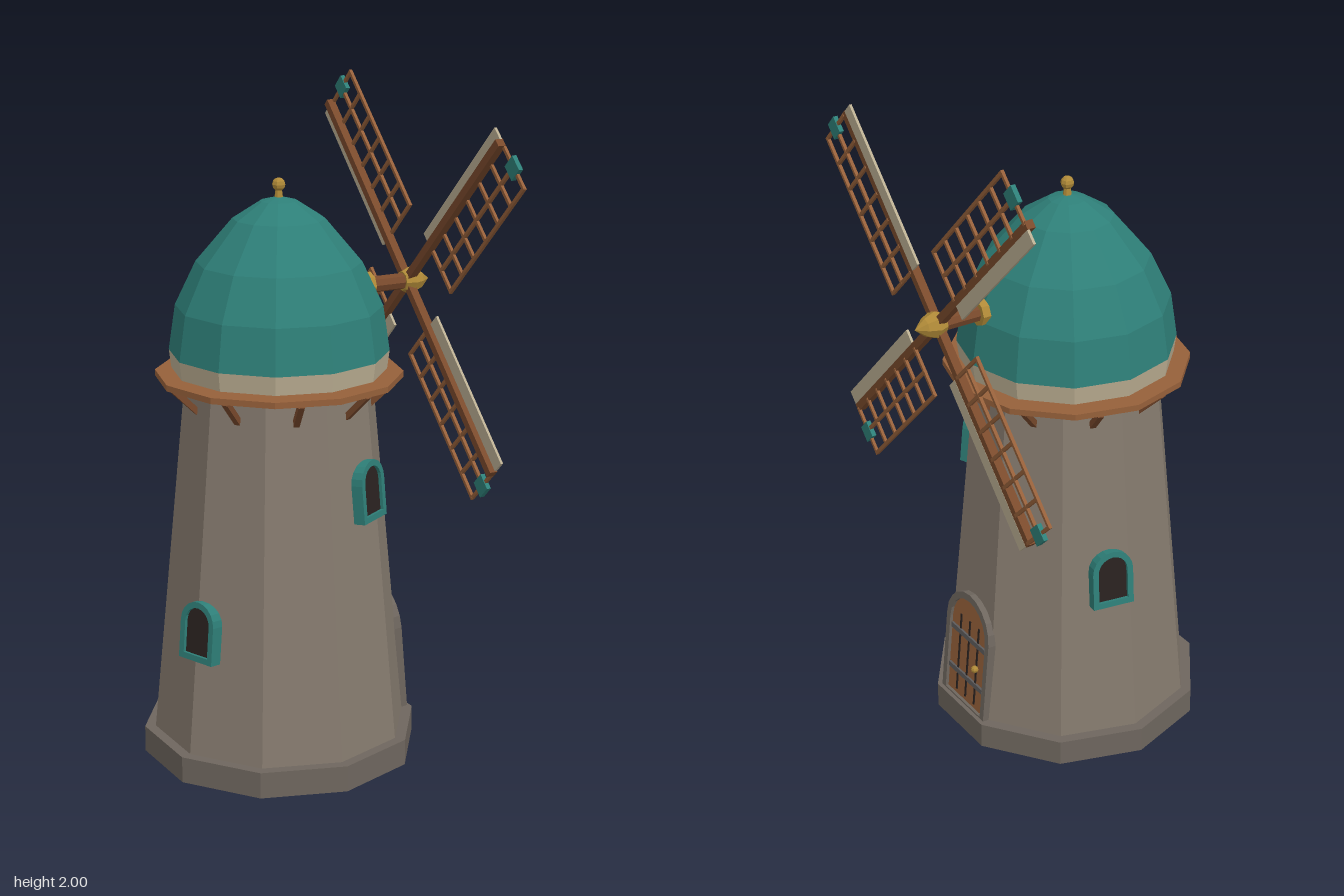
import * as THREE from 'three';

const mat = (name, color) => {
  const m = new THREE.MeshStandardMaterial({ color });
  m.name = name;
  return m;
};

export function createModel() {
  const stone = mat('stone', 0x857a6e), darkStone = mat('dark stone', 0x6e665e);
  const teal = mat('teal', 0x2e7f78), cream = mat('cream', 0xbbae92);
  const deckWood = mat('deck wood', 0x96603a), wood = mat('wood', 0x7a4a2c);
  const gold = mat('gold', 0xb08a38), dark = mat('dark', 0x2a2220), iron = mat('iron', 0x5c5a5a);

  const root = new THREE.Group();
  root.name = 'windmill';
  const mill = new THREE.Group();
  mill.name = 'mill';
  mill.position.x = -0.06;
  root.add(mill);

  // Faceted mesh
  const add = (parent, name, geo, material, x = 0, y = 0, z = 0) => {
    const g = geo.index ? geo.toNonIndexed() : geo;
    g.computeVertexNormals();
    const m = new THREE.Mesh(g, material);
    m.name = name;
    m.position.set(x, y, z);
    parent.add(m);
    return m;
  };
  const box = (parent, name, material, w, h, d, x, y, z) =>
    add(parent, name, new THREE.BoxGeometry(w, h, d), material, x, y, z);
  const cyl = (rTop, rBottom, h, n) => new THREE.CylinderGeometry(rTop, rBottom, h, n);
  const lathe = (pts, n) => new THREE.LatheGeometry(pts.map(p => new THREE.Vector2(...p)), n);

  // Tower
  const radiusAt = y => 0.385 - 0.105 * (y - 0.08) / 1.1;
  const apothem = Math.cos(Math.PI / 10);
  const tilt = Math.atan(0.105 * apothem / 1.1);
  add(mill, 'plinth', cyl(0.418, 0.418, 0.08, 10), darkStone, 0, 0.04);
  add(mill, 'tower', cyl(radiusAt(1.2), radiusAt(0.08), 1.12, 10), stone, 0, 0.64);

  // Gallery and its braces
  add(mill, 'gallery', cyl(0.367, 0.367, 0.018, 12), deckWood, 0, 1.174);
  for (let i = 0; i < 10; i++) {
    const pivot = new THREE.Group();
    pivot.name = 'galleryBrace';
    pivot.rotation.y = (i + 0.5) * Math.PI / 5;
    mill.add(pivot);
    box(pivot, 'brace', wood, 0.018, 0.115, 0.018, 0, 1.128, 0.307).rotation.x = 0.8;
  }

  // Cap
  add(mill, 'capBand', cyl(0.325, 0.318, 0.055, 12), cream, 0, 1.2175);
  add(mill, 'dome', lathe([[0.325, 1.245], [0.305, 1.38], [0.243, 1.51], [0.135, 1.637],
    [0.055, 1.688], [0, 1.702]], 12), teal);
  add(mill, 'finialNeck', cyl(0.009, 0.014, 0.04, 8), gold, 0, 1.708);
  add(mill, 'finialBall', new THREE.SphereGeometry(0.02, 8, 6), gold, 0, 1.735);

  // Group lying on the sloping wall, local +z outward
  const mount = (name, theta, dist, y) => {
    const g = new THREE.Group();
    g.name = name;
    g.rotation.order = 'YXZ';
    g.rotation.set(-tilt, theta, 0);
    g.position.set(Math.sin(theta) * dist, y, Math.cos(theta) * dist);
    mill.add(g);
    return g;
  };
  // Round-topped outline between y0 and y1
  const arch = (hw, y0, y1, Type = THREE.Shape) => {
    const s = new Type();
    s.moveTo(-hw, y0);
    s.lineTo(hw, y0);
    s.lineTo(hw, y1 - hw);
    s.absarc(0, y1 - hw, hw, 0, Math.PI, false);
    s.closePath();
    return s;
  };
  const slab = (shape, depth) =>
    new THREE.ExtrudeGeometry(shape, { depth, bevelEnabled: false, curveSegments: 5 });

  // Door
  const door = mount('door', Math.PI / 2, radiusAt(0.08) * apothem, 0.08);
  const surround = arch(0.12, 0, 0.385);
  surround.holes.push(arch(0.1, 0.005, 0.362, THREE.Path));
  add(door, 'doorFrame', slab(surround, 0.04), darkStone, 0, 0, -0.02);
  add(door, 'doorLeaf', slab(arch(0.101, 0.004, 0.363), 0.03), deckWood, 0, 0, -0.02);
  for (const x of [-0.05, 0, 0.05])
    box(door, 'plankGroove', dark, 0.007, 0.27, 0.004, x, 0.155, 0.011);
  for (const y of [0.09, 0.232])
    box(door, 'doorStrap', iron, 0.19, 0.016, 0.008, 0, y, 0.013);
  add(door, 'doorHandle', new THREE.SphereGeometry(0.012, 8, 6), gold, 0.052, 0.15, 0.018);

  // Windows: angle in degrees, centre height, distance of the pane
  for (const [deg, y, dist] of [[30, 0.865, 0.312], [170, 0.602, 0.334], [290, 0.463, 0.353]]) {
    const win = mount('window', THREE.MathUtils.degToRad(deg), dist, y);
    const frame = arch(0.065, -0.09, 0.09);
    frame.holes.push(arch(0.047, -0.072, 0.072, THREE.Path));
    add(win, 'windowFrame', slab(frame, 0.065), teal, 0, 0, -0.053);
    add(win, 'windowPane', slab(arch(0.048, -0.073, 0.073), 0.008), dark, 0, 0, -0.006);
  }

  // Windshaft and hub
  const axleY = 1.407;
  const along = (name, geo, material, x) => {
    add(root, name, geo, material, x, axleY, 0).rotation.z = -Math.PI / 2;
  };
  along('shaftCollar', cyl(0.04, 0.04, 0.025, 8), gold, 0.237);
  along('windshaft', cyl(0.025, 0.025, 0.2, 8), wood, 0.275);
  along('hub', lathe([[0, 0], [0.03, 0], [0.042, 0.027], [0.028, 0.06], [0, 0.093]], 8), gold, 0.36);

  // Sails: spar, wind board, lattice and end patch
  for (let i = 0; i < 4; i++) {
    const sail = new THREE.Group();
    sail.name = 'sail';
    sail.position.set(0.385, axleY, 0);
    sail.rotation.x = (i + 0.5) * Math.PI / 2;
    root.add(sail);
    box(sail, 'spar', wood, 0.025, 0.68, 0.024, -0.006, 0.34, 0);
    box(sail, 'windBoard', cream, 0.008, 0.51, 0.042, 0.003, 0.422, -0.033);
    for (const z of [0.08, 0.155])
      box(sail, 'latticeRail', deckWood, 0.01, 0.515, 0.01, 0.004, 0.42, z);
    for (let k = 0; k < 7; k++)
      box(sail, 'latticeRung', deckWood, 0.009, 0.01, 0.155, 0.004, 0.167 + k * 0.0843, 0.08);
    box(sail, 'sailPatch', teal, 0.014, 0.05, 0.05, 0.004, 0.672, 0.083);
  }
  return root;
}
